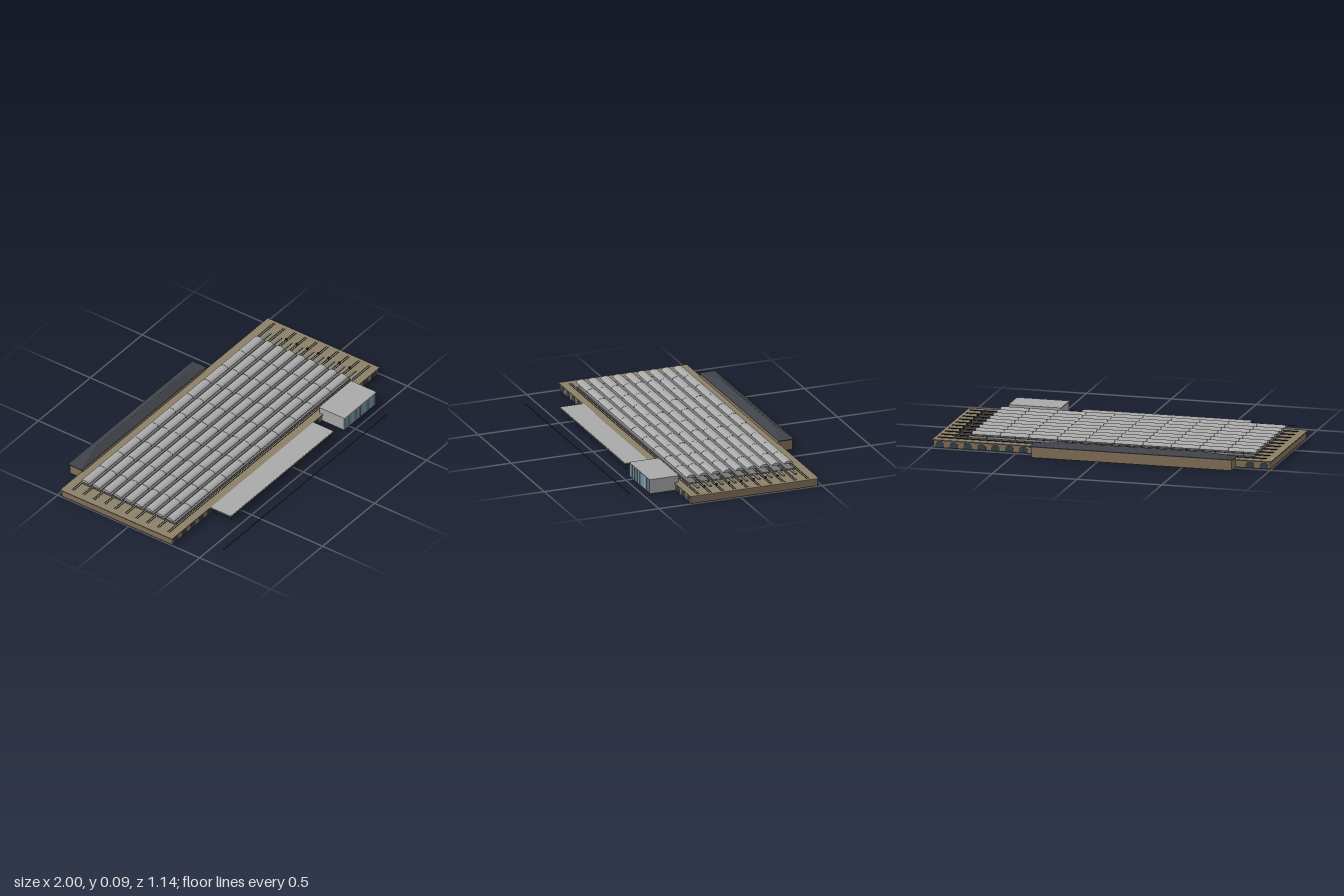
import * as THREE from 'three';

const mat = (color) => new THREE.MeshStandardMaterial({ color });
const stone = mat(0x85735a), roofStone = mat(0x8c8068), dark = mat(0x2b2e31), slate = mat(0x3f4248);
const glass = mat(0x6f8b9a), darkGlass = mat(0x33434a), grey = mat(0xaaaaaa), steel = mat(0x55585a), pave = mat(0x77777a);

export function createModel() {
  const model = new THREE.Group();
  model.name = 'railwayStation';

  // Box given by its extents on each axis
  const box = (name, m, x0, x1, y0, y1, z0, z1) => {
    const mesh = new THREE.Mesh(new THREE.BoxGeometry(x1 - x0, y1 - y0, z1 - z0), m);
    mesh.position.set((x0 + x1) / 2, (y0 + y1) / 2, (z0 + z1) / 2);
    mesh.name = name;
    model.add(mesh);
    return mesh;
  };

  // Main block with an overhanging roof deck
  box('mainBlock', stone, -0.993, 0.993, 0, 0.04, -0.474, 0.3);
  box('roofDeck', roofStone, -1, 1, 0.04, 0.046, -0.482, 0.306);

  // Arched openings on the front and back walls
  const arch = new THREE.Shape();
  arch.moveTo(-0.025, 0);
  arch.lineTo(0.025, 0);
  arch.lineTo(0.025, 0.015);
  arch.absellipse(0, 0.015, 0.025, 0.02, 0, Math.PI, false);
  arch.closePath();
  const archGeo = new THREE.ExtrudeGeometry(arch, { depth: 0.002, bevelEnabled: false, curveSegments: 10 });
  const addArch = (x, z) => {
    const a = new THREE.Mesh(archGeo, darkGlass);
    a.position.set(x, 0.002, z);
    a.name = 'archedOpening';
    model.add(a);
    box('archMullion', dark, x - 0.001, x + 0.001, 0.002, 0.036, z, z + 0.0025);
  };
  for (const x of [-0.955, -0.873, -0.791, -0.709, 0.4, 0.791, 0.873, 0.955]) addArch(x, 0.2995);
  for (const x of [-0.955, -0.873, 0.463, 0.545, 0.627, 0.709, 0.791, 0.873, 0.955]) addArch(x, -0.4755);

  // Glazed entrance front
  box('entranceGlazing', darkGlass, -0.65, 0.37, 0, 0.034, 0.298, 0.304);
  for (let i = 0; i <= 30; i++) {
    const x = -0.65 + i * 0.034;
    box('entranceMullion', steel, x - 0.001, x + 0.001, 0, 0.034, 0.303, 0.306);
  }

  // Entrance canopy on posts
  box('entranceCanopy', grey, -0.63, 0.36, 0.0405, 0.046, 0.3, 0.447);
  box('canopyFascia', steel, -0.635, 0.365, 0.038, 0.044, 0.3, 0.452);
  for (let i = 0; i < 10; i++) {
    const post = new THREE.Mesh(new THREE.CylinderGeometry(0.0025, 0.0025, 0.038, 8), steel);
    post.position.set(-0.61 + i * 0.105, 0.019, 0.435);
    post.name = 'canopyPost';
    model.add(post);
  }

  // Glass-fronted pavilion
  box('pavilionBody', grey, 0.453, 0.757, 0, 0.082, 0.282, 0.455);
  box('pavilionRoof', grey, 0.45, 0.76, 0.082, 0.087, 0.279, 0.46);
  box('pavilionGlass', glass, 0.456, 0.754, 0.002, 0.081, 0.454, 0.457);
  for (let i = 0; i <= 8; i++) {
    const x = 0.457 + i * 0.0367;
    box('pavilionMullion', mat(0x9fb4bf), x - 0.001, x + 0.001, 0.002, 0.082, 0.456, 0.459);
  }

  // Rear wing with a hipped roof
  box('rearWing', stone, -0.79, 0.39, 0, 0.063, -0.567, -0.476);
  box('rearEaves', slate, -0.8, 0.4, 0.061, 0.065, -0.574, -0.476);
  const hip = new THREE.BoxGeometry(1.2, 0.025, 0.098);
  const p = hip.attributes.position;
  for (let i = 0; i < p.count; i++) {
    if (p.getY(i) > 0) { p.setX(i, Math.sign(p.getX(i)) * 0.41); p.setZ(i, p.getZ(i) * 0.02); }
  }
  const hipGeo = hip.toNonIndexed();
  hipGeo.computeVertexNormals();
  const hipRoof = new THREE.Mesh(hipGeo, slate);
  hipRoof.position.set(-0.2, 0.0775, -0.525);
  hipRoof.name = 'hippedRoof';
  model.add(hipRoof);

  // Curved platform roof section, extruded along x
  const vault = new THREE.Shape();
  vault.moveTo(-0.027, 0);
  vault.lineTo(0.027, 0);
  vault.absellipse(0, 0.002, 0.027, 0.014, 0, Math.PI, false);
  vault.closePath();
  const bays = 10, bayLength = 0.168, xStart = -0.895;
  const vaultGeo = new THREE.ExtrudeGeometry(vault, { depth: bayLength - 0.002, bevelEnabled: false, curveSegments: 16 });
  vaultGeo.rotateY(Math.PI / 2);
  const stemGeo = new THREE.CylinderGeometry(0.003, 0.003, 0.03, 8);

  for (let row = 0; row < 9; row++) {
    const z = 0.213 - row * 0.0747;
    // Platform, tapering to a narrow tip
    box('platform', pave, -0.88, 0.81, 0.045, 0.053, z - 0.024, z + 0.024);
    box('platformTip', pave, 0.81, 0.89, 0.045, 0.051, z - 0.008, z + 0.008);
    for (let i = 0; i < bays; i++) {
      const x = xStart + i * bayLength;
      const shell = new THREE.Mesh(vaultGeo, grey);
      shell.position.set(x, 0.0735, z);
      shell.name = 'platformRoof';
      model.add(shell);
      // Supporting stem and cross rib
      const stem = new THREE.Mesh(stemGeo, steel);
      stem.position.set(x + bayLength / 2, 0.061, z);
      stem.name = 'platformStem';
      model.add(stem);
      if (i > 0) box('roofJoint', dark, x - 0.003, x + 0.001, 0.0725, 0.0755, z - 0.029, z + 0.029);
    }
  }

  // Pairs of rails between the platforms
  for (let row = 0; row <= 9; row++) {
    const z = 0.213 + 0.0374 - row * 0.0747;
    for (const dz of [-0.006, 0.006]) {
      box('rail', dark, -0.96, 0.98, 0.045, 0.0485, z + dz - 0.0015, z + dz + 0.0015);
    }
    // Signals at the track ends
    if (row > 0 && row < 8) {
      box('signalPost', dark, 0.889, 0.893, 0.045, 0.057, z - 0.002, z + 0.002);
      box('signalHead', dark, 0.886, 0.896, 0.053, 0.06, z - 0.005, z + 0.005);
    }
  }

  // Kerb line of the forecourt
  box('forecourtKerb', dark, -0.86, 0.72, 0, 0.003, 0.562, 0.568);
  return model;
}
